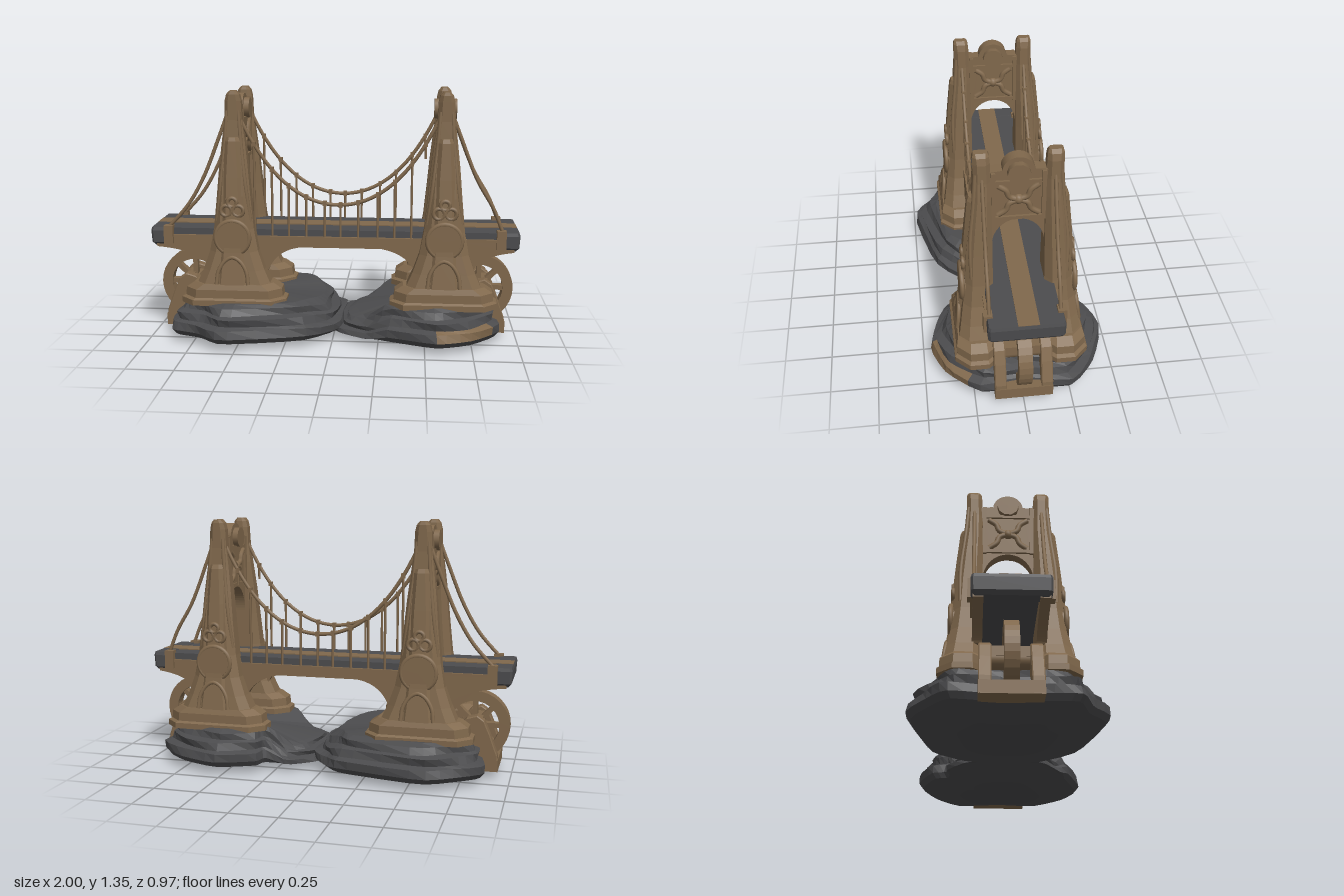
import * as THREE from 'three';

const timber = new THREE.MeshStandardMaterial({ color: 0x80684c });
timber.name = 'carved brown';
const stone = new THREE.MeshStandardMaterial({ color: 0x4c4c4e });
stone.name = 'dark stone';

const V = (x, y, z) => new THREE.Vector3(x, y, z);

function add(parent, name, geo, mat, x = 0, y = 0, z = 0) {
  const m = new THREE.Mesh(geo, mat);
  m.name = name;
  m.position.set(x, y, z);
  parent.add(m);
  return m;
}

// Closed, faceted skin over a stack of rings (bottom to top);
// faces chosen by isPatch go into a second material group
function loft(rings, isPatch = () => false) {
  const sets = [[], []];
  const tri = (set, ...p) => p.forEach(v => sets[set].push(v.x, v.y, v.z));
  const mid = r => r.reduce((s, v) => s.add(v), V(0, 0, 0)).divideScalar(r.length);
  const n = rings[0].length, last = rings.length - 1;
  const lo = mid(rings[0]), hi = mid(rings[last]);
  for (let j = 0; j < n; j++) {
    const k = (j + 1) % n;
    tri(0, lo, rings[0][k], rings[0][j]);
    for (let i = 0; i < last; i++) {
      const a = rings[i][j], b = rings[i][k], c = rings[i + 1][k], d = rings[i + 1][j];
      const set = isPatch(i, mid([a, b, c, d])) ? 1 : 0;
      tri(set, a, b, d);
      tri(set, b, c, d);
    }
    tri(0, hi, rings[last][j], rings[last][k]);
  }
  const g = new THREE.BufferGeometry();
  g.setAttribute('position', new THREE.Float32BufferAttribute(sets.flat(), 3));
  g.computeVertexNormals();
  if (sets[1].length) {
    g.addGroup(0, sets[0].length / 3, 0);
    g.addGroup(sets[0].length / 3, sets[1].length / 3, 1);
  }
  return g;
}

// Chamfered rectangular ring, centred on x = 0, between |z| = z0 and z1 on one side
function section(side, [y, h, z0, z1], cut = 0.3) {
  const cz = side * (z0 + z1) / 2, d = (z1 - z0) / 2, c = Math.min(h, d) * 2 * cut;
  return [[h, d - c], [h, c - d], [h - c, -d], [c - h, -d], [-h, c - d], [-h, d - c], [c - h, d], [h - c, d]]
    .map(([x, z]) => V(x, y, cz + z));
}

// Flat outline in x, y extruded evenly about z = 0
function plate(shape, depth, bevel = 0) {
  const g = new THREE.ExtrudeGeometry(shape, {
    depth, curveSegments: 16, bevelEnabled: bevel > 0, bevelSize: bevel, bevelThickness: bevel, bevelSegments: 1,
  });
  return g.translate(0, 0, -depth / 2);
}
const poly = pts => new THREE.Shape(pts.map(p => new THREE.Vector2(...p)));
const tube = (pts, segments, radius) =>
  new THREE.TubeGeometry(new THREE.CatmullRomCurve3(pts), segments, radius, 8);

// Layered rock island from a plan outline; the end facing the channel sinks to the factor low
function island(plan, cx, low, reach, isPatch) {
  const curve = new THREE.CatmullRomCurve3(plan.map(([x, z]) => V(x, 0, z)), true, 'catmullrom', 0.3);
  const edge = curve.getPoints(44).slice(0, 44);
  const layers = [[0.004, 0.5], [0.045, 0.95], [0.075, 1], [0.118, 0.99], [0.13, 0.92], [0.17, 0.92],
    [0.18, 0.85], [0.215, 0.83], [0.232, 0.75]];
  return loft(layers.map(([y, s], i) => edge.map((p, j) => {
    const w = s + (i > 2 ? 0.022 * Math.sin(j * 0.86 + i * 1.7) : 0);
    const x = cx + (p.x - cx) * w;
    const t = THREE.MathUtils.smoothstep(Math.abs(x), reach - 0.15, reach);
    return V(x, y * (i < 2 ? 1 : low + (1 - low) * t), p.z * w);
  })), isPatch);
}

function tower(cx) {
  const g = new THREE.Group();
  g.name = 'tower';
  g.position.x = cx;
  for (const s of [1, -1]) {
    // Stepped plinth
    add(g, 'plinth', loft([[0.215, 0.285, 0.1, 0.342], [0.245, 0.285, 0.1, 0.342], [0.255, 0.265, 0.11, 0.33],
      [0.3, 0.26, 0.11, 0.33], [0.33, 0.215, 0.12, 0.32]].map(r => section(s, r))), timber);
    // Tapering leg
    add(g, 'towerLeg', loft([[0.31, 0.205, 0.125, 0.315], [0.4, 0.165, 0.13, 0.3], [0.5, 0.13, 0.13, 0.285],
      [0.62, 0.108, 0.13, 0.272], [0.8, 0.09, 0.13, 0.26], [0.95, 0.077, 0.13, 0.243], [1.1, 0.06, 0.13, 0.223],
      [1.2, 0.047, 0.132, 0.217], [1.3, 0.043, 0.135, 0.217], [1.335, 0.034, 0.138, 0.217],
      [1.353, 0.018, 0.145, 0.212]].map(r => section(s, r, 0.25))), timber);
    // Outer buttress strip ending in a shoulder
    add(g, 'buttress', loft([[0.32, 0.1, 0.2, 0.322], [0.5, 0.075, 0.2, 0.3], [0.7, 0.06, 0.2, 0.284],
      [0.9, 0.05, 0.2, 0.266], [1.09, 0.04, 0.18, 0.247], [1.112, 0.034, 0.18, 0.238]].map(r => section(s, r))), timber);
    // Round medallion with a rim
    add(g, 'medallion', new THREE.CylinderGeometry(0.085, 0.085, 0.06, 28).rotateX(Math.PI / 2), timber, 0, 0.58, s * 0.268);
    add(g, 'medallionRim', new THREE.TorusGeometry(0.09, 0.013, 8, 28), timber, 0, 0.58, s * 0.286);
    // Arched niche moulding
    add(g, 'nicheMoulding', tube([[-0.085, 0.33], [-0.075, 0.4], [-0.04, 0.455], [0, 0.475],
      [0.04, 0.455], [0.075, 0.4], [0.085, 0.33]].map(([x, y]) => V(x, y, s * (0.317 - (y - 0.33) * 0.11))), 20, 0.011), timber);
    // Scroll ornament above the medallion
    for (const [x, y, r] of [[-0.032, 0.725, 0.028], [0.032, 0.725, 0.028], [0, 0.77, 0.024]])
      add(g, 'scroll', new THREE.TorusGeometry(r, 0.011, 6, 16), timber, x, y, s * 0.277);
    // Thin raised ribs climbing the shaft
    for (const m of [-1, 1])
      add(g, 'shaftRib', tube([V(m * 0.09, 0.66, s * 0.237), V(m * 0.067, 0.85, s * 0.24),
        V(m * 0.045, 1.05, s * 0.22), V(m * 0.03, 1.25, s * 0.205)], 12, 0.011), timber);
  }
  // Portal wall with arched underside and rounded crest
  const wall = poly([[-0.15, 0.76], [-0.136, 0.76], [-0.13, 0.82]]);
  wall.absellipse(0, 0.82, 0.13, 0.15, Math.PI, 0, true);
  wall.lineTo(0.136, 0.76);
  wall.lineTo(0.15, 0.76);
  wall.lineTo(0.15, 1.25);
  wall.lineTo(0.08, 1.26);
  wall.absarc(0, 1.25, 0.078, 0.1, Math.PI - 0.1, false);
  wall.lineTo(-0.15, 1.25);
  add(g, 'portalWall', plate(wall, 0.06).rotateY(Math.PI / 2), timber);
  add(g, 'crestDisc', new THREE.CylinderGeometry(0.056, 0.056, 0.12, 10).rotateZ(Math.PI / 2), timber, 0, 1.25, 0);
  for (const s of [1, -1]) {
    // Frame and curling carving on each face
    for (const y of [0.985, 1.195])
      add(g, 'panelRail', new THREE.BoxGeometry(0.02, 0.018, 0.26), timber, s * 0.032, y, 0);
    for (const m of [-1, 1]) {
      add(g, 'panelStile', new THREE.BoxGeometry(0.025, 0.28, 0.02), timber, s * 0.032, 1.11, m * 0.122);
      for (const v of [-1, 1])
        add(g, 'panelCarving', tube([V(s * 0.032, 1.09, 0), V(s * 0.034, 1.09 + v * 0.02, m * 0.045),
          V(s * 0.034, 1.09 + v * 0.055, m * 0.06), V(s * 0.032, 1.09 + v * 0.085, m * 0.1)], 14, 0.015), timber);
    }
    add(g, 'panelBoss', new THREE.SphereGeometry(0.028, 12, 8), timber, s * 0.026, 1.09, 0);
  }
  return g;
}

// Spoked wheel held in a cradle; built for the +x end
function anchorage(s) {
  const g = new THREE.Group();
  g.name = 'anchorage';
  const wheel = new THREE.Group();
  wheel.name = 'wheel';
  wheel.position.set(0.797, 0.262, 0);
  const rim = new THREE.Shape().absarc(0, 0, 0.188, 0, Math.PI * 2);
  rim.holes.push(new THREE.Path().absarc(0, 0, 0.132, 0, Math.PI * 2));
  add(wheel, 'wheelRim', plate(rim, 0.07), timber);
  add(wheel, 'hub', new THREE.CylinderGeometry(0.045, 0.045, 0.2, 16).rotateX(Math.PI / 2), timber);
  for (let i = 0; i < 8; i++) {
    const a = i * Math.PI / 4;
    add(wheel, 'spoke', new THREE.BoxGeometry(0.12, 0.026, 0.045), timber, Math.cos(a) * 0.09, Math.sin(a) * 0.09, 0).rotation.z = a;
  }
  g.add(wheel);
  const cheek = poly([[0.6, 0.05], [0.93, 0.05], [0.925, 0.13], [0.885, 0.24], [0.855, 0.31], [0.82, 0.335], [0.77, 0.32], [0.7, 0.24]]);
  for (const z of [-0.12, 0.12]) add(g, 'cheek', plate(cheek, 0.05, 0.005), timber, 0, 0, z);
  add(g, 'cradleBase', new THREE.BoxGeometry(0.3, 0.065, 0.3), timber, 0.785, 0.075, 0);
  add(g, 'axleBar', new THREE.BoxGeometry(0.05, 0.05, 0.2), timber, 0.82, 0.29, 0);
  if (s < 0) g.rotation.y = Math.PI;
  return g;
}

export function createModel() {
  const model = new THREE.Group();
  model.name = 'suspensionBridge';
  const towers = [-0.53, 0.595];

  // Rock islands, the right one with a bare earth patch on its front rim
  add(model, 'leftRock', island([[0.06, 0], [0.05, -0.19], [-0.02, -0.3], [-0.13, -0.4], [-0.58, -0.49], [-0.77, -0.39],
    [-0.88, -0.29], [-0.85, -0.05], [-0.87, 0.2], [-0.86, 0.33], [-0.71, 0.39], [-0.57, 0.49], [-0.14, 0.39], [0.04, 0.2]],
    -0.45, 0.85, 0.15), stone);
  add(model, 'rightRock', island([[0.88, 0], [0.91, -0.25], [0.76, -0.39], [0.54, -0.47], [0.33, -0.39], [0.3, -0.31],
    [0.17, -0.3], [0.03, -0.19], [0, 0], [0.02, 0.2], [0.19, 0.32], [0.38, 0.4], [0.57, 0.46], [0.75, 0.39], [0.9, 0.22]],
    0.5, 0.58, 0.32, (i, p) => (i === 2 || i === 3) && p.z > 0.3 && p.x > 0.57 && p.x < 0.84), [stone, timber]);

  towers.forEach(x => model.add(tower(x)));
  [-1, 1].forEach(s => model.add(anchorage(s)));

  // Road deck with a centre stripe
  add(model, 'deck', new THREE.BoxGeometry(1.9, 0.065, 0.35), stone, 0, 0.572, 0);
  add(model, 'stripe', new THREE.BoxGeometry(1.99, 0.008, 0.105), timber, 0, 0.606, -0.008);
  for (const s of [-1, 1]) {
    const rings = [[0.505, 0.03, -0.17, 0.17], [0.525, 0.046, -0.188, 0.188], [0.59, 0.05, -0.19, 0.19], [0.608, 0.045, -0.185, 0.185]];
    add(model, 'deckEnd', loft(rings.map(r => section(1, r, 0.12).map(p => p.setX(p.x + s * 0.95)))), stone);
  }

  for (const s of [-1, 1]) {
    const z = s * 0.175;
    // Arched girder between the towers
    const girder = poly([[-0.47, 0.565], [-0.47, 0.36], [-0.36, 0.36]]);
    girder.quadraticCurveTo(-0.32, 0.49, -0.18, 0.51);
    girder.lineTo(0.26, 0.51);
    girder.quadraticCurveTo(0.42, 0.48, 0.45, 0.36);
    girder.lineTo(0.54, 0.36);
    girder.lineTo(0.54, 0.565);
    add(model, 'girder', plate(girder, 0.03), timber, 0, 0, z);
    add(model, 'curb', new THREE.BoxGeometry(1.8, 0.015, 0.02), timber, 0, 0.562, s * 0.18);

    // Main cable height: gentle in the middle, steep at the towers
    const sag = x => 0.745 + 1.3 * (x - 0.03) ** 2 + 1.3 * (x - 0.03) ** 4;

    towers.forEach((cx, i) => {
      const e = i ? 1 : -1;
      // Curved bracket under the outer deck
      const bracket = poly([[cx + e * 0.08, 0.555], [cx + e * 0.08, 0.38], [cx + e * 0.16, 0.4]]);
      bracket.quadraticCurveTo(cx + e * 0.2, 0.48, e * 0.97, 0.5);
      bracket.lineTo(e * 0.97, 0.555);
      add(model, 'bracket', plate(bracket, 0.05), timber, 0, 0, s * 0.155);
      // Back stay and its anchor block
      add(model, 'backStay', tube([[cx, 1.32], [cx + e * 0.08, 1.11], [cx + e * 0.17, 0.89],
        [cx + e * 0.26, 0.735], [e * 0.91, 0.6]].map(([x, y]) => V(x, y, z)), 24, 0.01), timber);
      add(model, 'stayBlock', new THREE.BoxGeometry(0.05, 0.1, 0.045), timber, e * 0.9, 0.57, s * 0.182);
    });

    // Main cable, hangers and a short broken hanger
    const path = [];
    for (let i = 0; i <= 16; i++) {
      const x = THREE.MathUtils.lerp(towers[0], towers[1], i / 16);
      path.push(V(x, sag(x), z));
    }
    add(model, 'mainCable', tube(path, 48, 0.01), timber);
    const hanger = (x, foot) => {
      const h = sag(x) - foot;
      add(model, 'hanger', new THREE.CylinderGeometry(0.007, 0.007, h, 6), timber, x, foot + h / 2, z);
      add(model, 'hangerClamp', new THREE.BoxGeometry(0.02, 0.026, 0.024), timber, x, sag(x), z);
    };
    for (const x of [-0.425, -0.33, -0.24, -0.145, -0.045, 0.04, 0.135, 0.24, 0.33, 0.42]) hanger(x, 0.56);
    hanger(0.49, 1.0);
  }
  return model;
}
